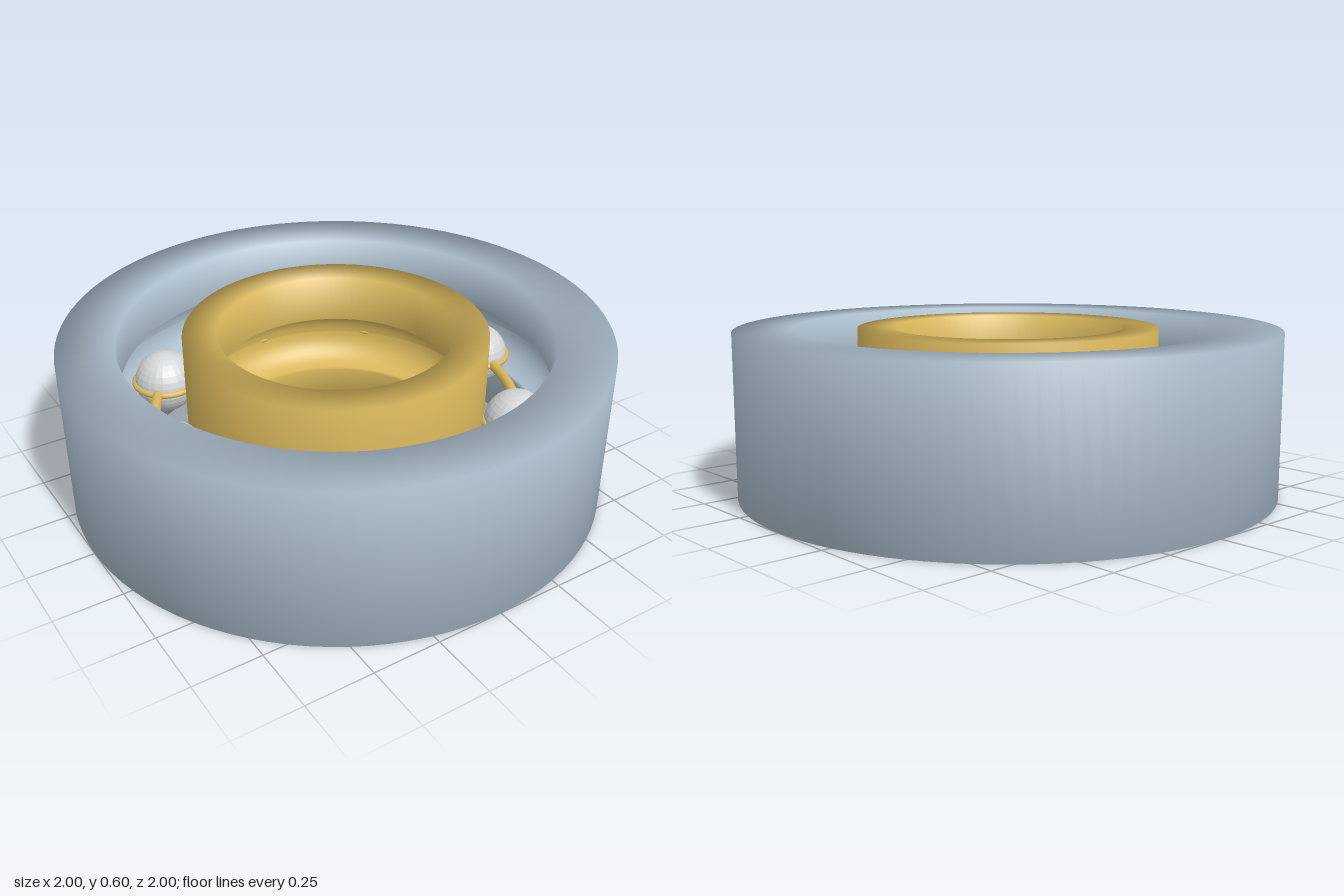
import * as THREE from 'three';

const HEIGHT = 0.6;
const MID = HEIGHT / 2;
const BALL_R = 0.1175;
const BALL_ORBIT = 0.672;
const BALL_COUNT = 8;

// Square-edged ring whose inner wall has a half-round groove at mid height
function grooveRing(inner, outer, material, name) {
  const steps = 10;
  const groovePoint = (angle) =>
    new THREE.Vector2(inner + BALL_R * Math.cos(angle), MID + BALL_R * Math.sin(angle));

  const profile = [];
  for (let i = 0; i <= steps; i++) profile.push(groovePoint((-Math.PI / 2) * (i / steps)));
  profile.push(
    new THREE.Vector2(inner, 0),
    new THREE.Vector2(outer, 0),
    new THREE.Vector2(outer, HEIGHT),
    new THREE.Vector2(inner, HEIGHT),
  );
  for (let i = 0; i <= steps; i++) profile.push(groovePoint((Math.PI / 2) * (1 - i / steps)));

  const mesh = new THREE.Mesh(new THREE.LatheGeometry(profile, 96), material);
  mesh.name = name;
  return mesh;
}

// Torus lying flat at mid height
function flatTorus(radius, tube, segments, material, name) {
  const geometry = new THREE.TorusGeometry(radius, tube, 12, segments).rotateX(Math.PI / 2);
  const mesh = new THREE.Mesh(geometry, material);
  mesh.position.y = MID;
  mesh.name = name;
  return mesh;
}

export function createModel() {
  const steel = new THREE.MeshStandardMaterial({ color: 0xaabccb });
  steel.name = 'blueSteel';
  const brass = new THREE.MeshStandardMaterial({ color: 0xd9b75c });
  brass.name = 'brass';
  const silver = new THREE.MeshStandardMaterial({ color: 0xd3d5d6 });
  silver.name = 'silver';

  const model = new THREE.Group();
  model.name = 'ballBearing';

  // Outer and inner races
  model.add(grooveRing(0.79, 1, steel, 'outerRace'));
  model.add(grooveRing(0.428, 0.555, brass, 'innerRace'));

  // Cage ring running through all the balls
  const cage = new THREE.Group();
  cage.name = 'cage';
  cage.add(flatTorus(BALL_ORBIT, 0.02, 96, brass, 'cageRing'));
  model.add(cage);

  // Faceted balls, each with a thin collar around its equator
  const balls = new THREE.Group();
  balls.name = 'balls';
  const ballGeometry = new THREE.SphereGeometry(BALL_R, 24, 16).toNonIndexed();
  ballGeometry.computeVertexNormals();
  for (let i = 0; i < BALL_COUNT; i++) {
    const angle = (i / BALL_COUNT) * Math.PI * 2;
    const x = BALL_ORBIT * Math.cos(angle);
    const z = BALL_ORBIT * Math.sin(angle);

    const ball = new THREE.Mesh(ballGeometry, silver);
    ball.name = 'ball';
    ball.position.set(x, MID, z);
    balls.add(ball);

    const collar = flatTorus(BALL_R, 0.012, 40, brass, 'ballCollar');
    collar.position.set(x, MID, z);
    cage.add(collar);
  }
  model.add(balls);

  return model;
}
